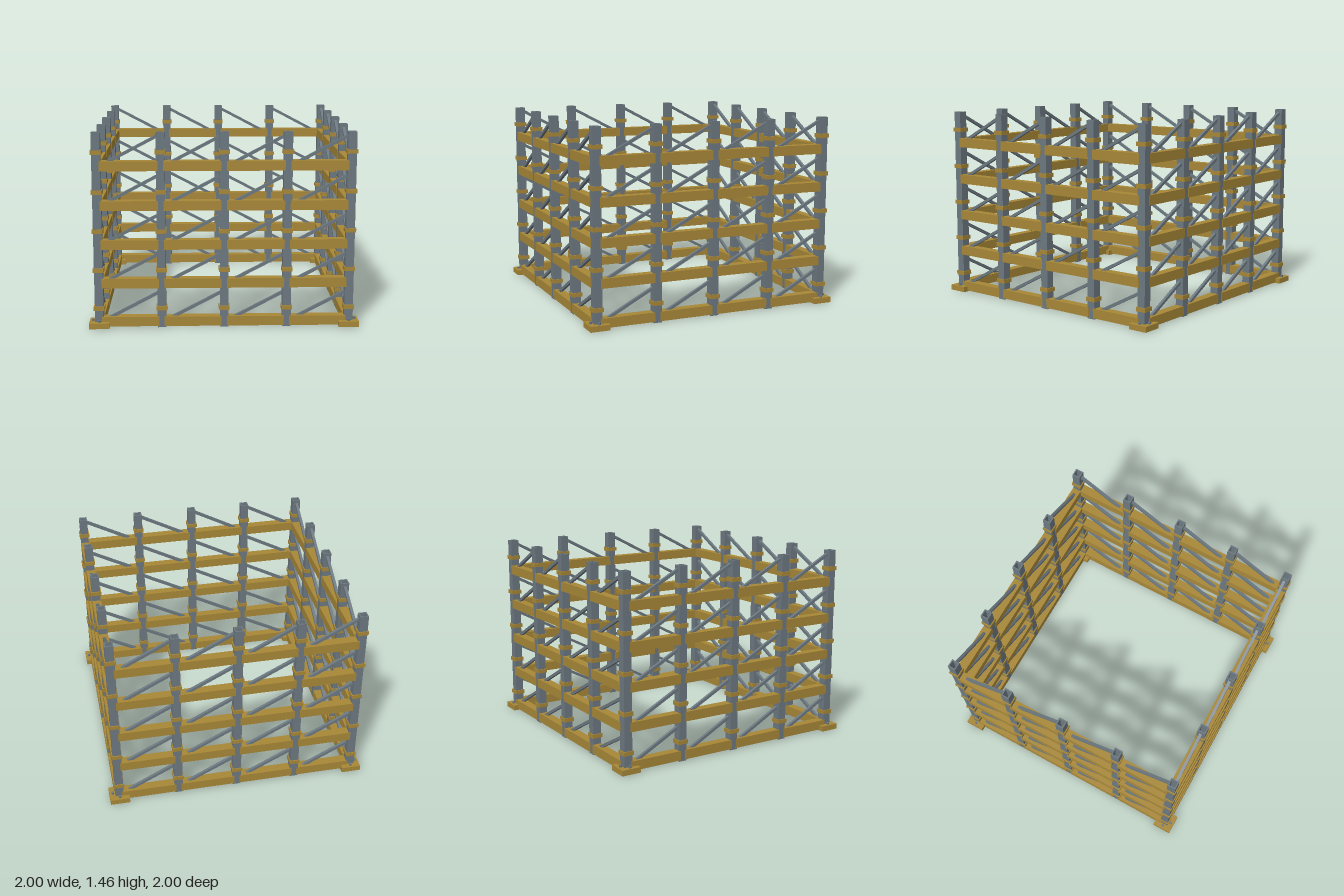
import * as THREE from 'three';

const HALF = 0.925;          // post centre line from the middle
const BAY = HALF / 2;        // spacing between posts
const LEVELS = 5;
const STEP = 0.2915;         // spacing between levels

// Upright square tube, open at both ends, standing on y = 0
function squareTube(outer, inner, height) {
  const square = (Type, s) => {
    const p = new Type();
    p.moveTo(-s, -s);
    p.lineTo(s, -s);
    p.lineTo(s, s);
    p.lineTo(-s, s);
    p.closePath();
    return p;
  };
  const shape = square(THREE.Shape, outer / 2);
  shape.holes.push(square(THREE.Path, inner / 2));
  const geo = new THREE.ExtrudeGeometry(shape, { depth: height, bevelEnabled: false });
  geo.rotateX(-Math.PI / 2);
  return geo;
}

export function createModel() {
  const steel = new THREE.MeshStandardMaterial({ color: 0x6c7880 });
  steel.name = 'blue grey steel';
  const ochre = new THREE.MeshStandardMaterial({ color: 0xa88838 });
  ochre.name = 'ochre paint';

  // Diagonal brace runs from the beam up to the next post
  const rise = 0.212, run = BAY - 0.06;
  const postGeo = squareTube(0.064, 0.044, 1.456);
  const collarGeo = squareTube(0.08, 0.06, 0.031);
  const beamGeo = new THREE.BoxGeometry(BAY - 0.04, 0.072, 0.07);
  const braceGeo = new THREE.BoxGeometry(Math.hypot(rise, run), 0.022, 0.022);
  const footGeo = new THREE.BoxGeometry(0.15, 0.042, 0.15);
  const boltGeo = new THREE.CylinderGeometry(0.011, 0.011, 0.016, 6);

  function add(parent, name, geo, mat, x, y, z) {
    const mesh = new THREE.Mesh(geo, mat);
    mesh.name = name;
    mesh.position.set(x, y, z);
    parent.add(mesh);
    return mesh;
  }

  // One wall along the front; it owns its left-hand corner post
  function makeWall(name) {
    const wall = new THREE.Group();
    wall.name = name;

    for (let i = 0; i < 4; i++) {
      const x = -HALF + i * BAY;
      add(wall, i === 0 ? 'cornerPost' : 'post', postGeo, steel, x, 0, HALF);

      for (let k = 0; k < LEVELS; k++) {
        const y = k * STEP;
        add(wall, 'collar', collarGeo, ochre, x, 0.132 + y, HALF);
        add(wall, 'beam', beamGeo, ochre, x + BAY / 2, 0.046 + y, HALF);
        const brace = add(wall, 'brace', braceGeo, steel, x + BAY / 2, 0.046 + rise / 2 + y, HALF);
        brace.rotation.z = Math.atan2(rise, run);
      }
    }

    // Corner foot with its bolts
    add(wall, 'foot', footGeo, ochre, -HALF, 0.024, HALF);
    add(wall, 'footBolt', boltGeo, steel, -HALF - 0.049, 0.052, HALF);
    add(wall, 'footBolt', boltGeo, steel, -HALF, 0.052, HALF + 0.049);
    return wall;
  }

  // Four identical walls, each turned a quarter
  const model = new THREE.Group();
  model.name = 'squareFrameTower';
  ['frontWall', 'leftWall', 'backWall', 'rightWall'].forEach((name, i) => {
    const wall = makeWall(name);
    wall.rotation.y = i * Math.PI / 2;
    model.add(wall);
  });
  return model;
}
